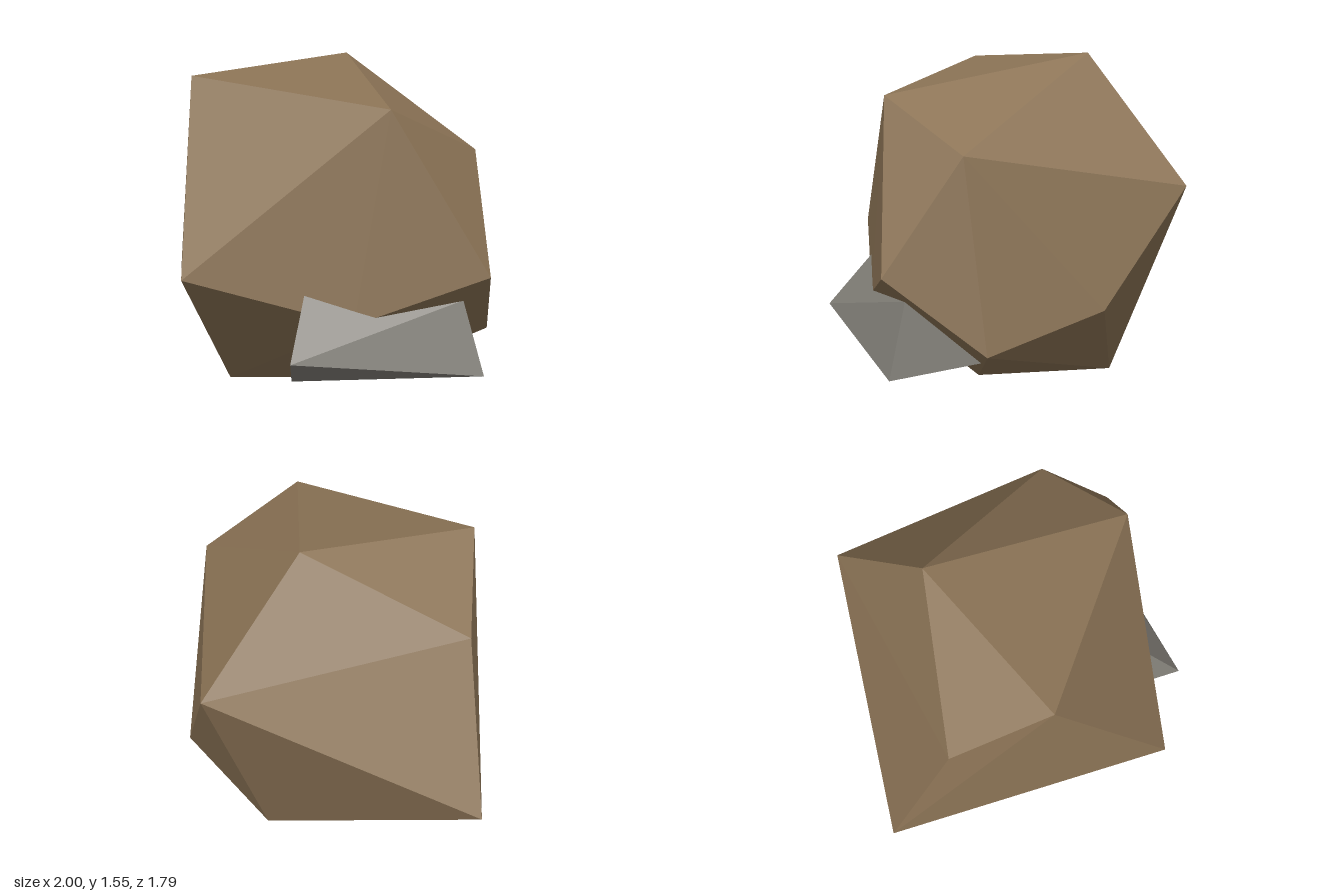
import * as THREE from 'three';
import { ConvexGeometry } from 'three/addons/geometries/ConvexGeometry.js';

// A faceted stone is the convex hull of a few corner points
function stone(name, color, corners) {
  const material = new THREE.MeshStandardMaterial({ color });
  material.name = name + 'Colour';
  const geometry = new ConvexGeometry(corners.map((c) => new THREE.Vector3(...c)));
  const mesh = new THREE.Mesh(geometry, material);
  mesh.name = name;
  return mesh;
}

export function createModel() {
  const group = new THREE.Group();
  group.name = 'rock';

  // Large brown boulder
  group.add(stone('boulder', 0x8b7355, [
    // crown
    [-0.12, 1.55, -0.355], [-0.38, 1.48, 0.46], [0.635, 1.385, 0.255],
    [-0.71, 1.187, 0.125], [0.735, 1.165, -0.245],
    // waist
    [-0.08, 0.98, -0.897], [-0.02, 0.64, 0.895], [1, 0.65, 0],
    [-1, 0.425, -0.045], [0.56, 0.44, 0.41], [0.315, 0.46, -0.705],
    // foot
    [0.74, 0.295, -0.368], [-0.05, 0.07, -0.53], [0.3, 0.04, -0.02], [-0.29, 0, 0.32],
  ]));

  // Small grey block, tapered upwards and sunk into the boulder
  group.add(stone('smallStone', 0x838079, [
    // bottom
    [0.48, 0.32, 0.74], [0.97, 0.19, -0.01], [0.54, 0.205, -0.24], [0.165, 0.09, 0.38],
    // top
    [0.387, 0.58, 0.54], [0.85, 0.52, -0.01], [0.55, 0.45, -0.05], [0.27, 0.45, 0.27],
  ]));

  return group;
}
